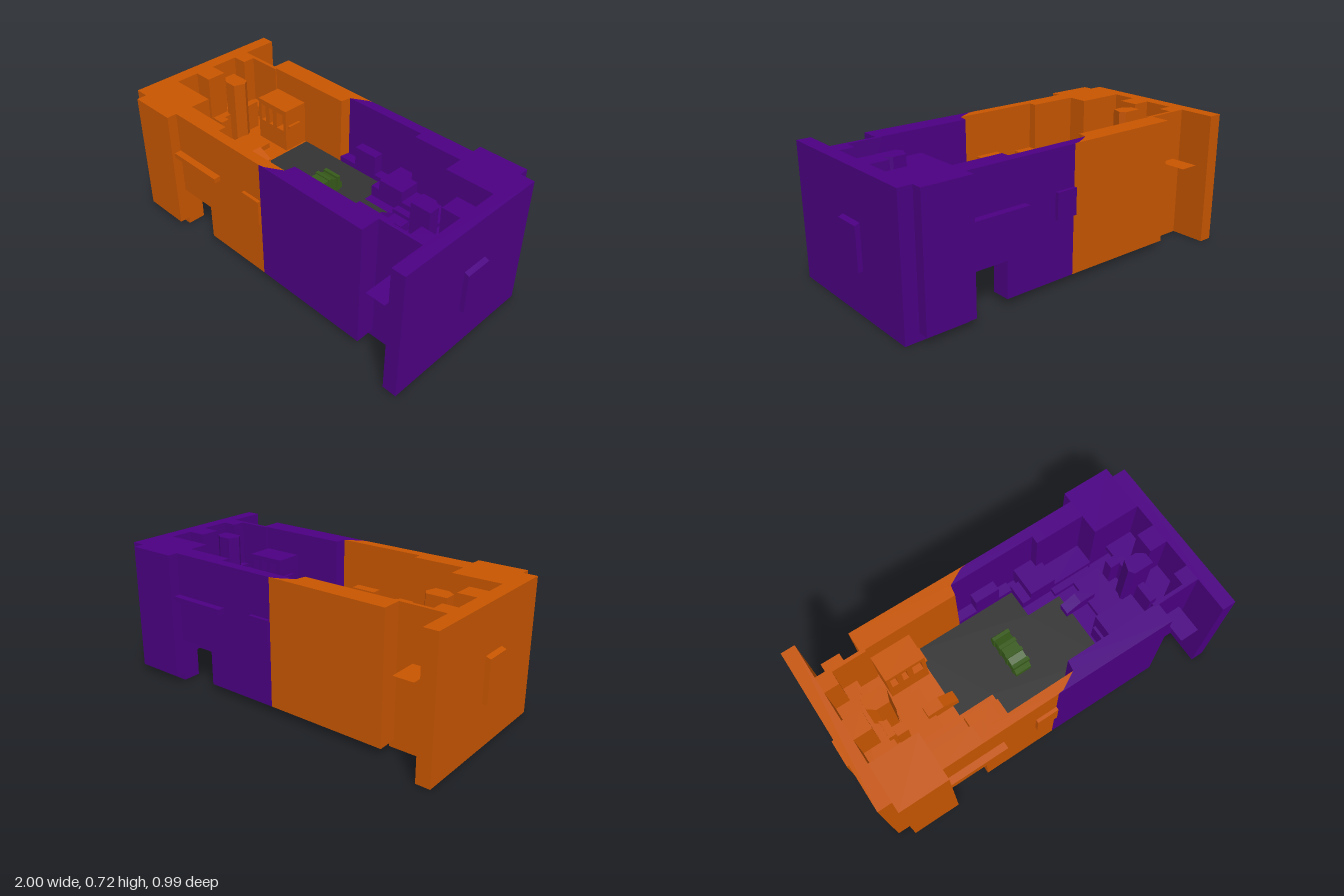
import * as THREE from 'three';

const mat = (name, color) => {
  const m = new THREE.MeshStandardMaterial({ color });
  m.name = name;
  return m;
};

// Box given by its limits on each axis
function block(group, name, m, [x0, x1], [y0, y1], [z0, z1]) {
  const mesh = new THREE.Mesh(new THREE.BoxGeometry(x1 - x0, y1 - y0, z1 - z0), m);
  mesh.position.set((x0 + x1) / 2, (y0 + y1) / 2, (z0 + z1) / 2);
  mesh.name = name;
  group.add(mesh);
}

// Upright prism from a plan outline of [x, z] points
function prism(group, name, m, plan, y0, y1) {
  const shape = new THREE.Shape(plan.map(([x, z]) => new THREE.Vector2(x, -z)));
  const geo = new THREE.ExtrudeGeometry(shape, { depth: y1 - y0, bevelEnabled: false });
  geo.rotateX(-Math.PI / 2).translate(0, y0, 0);
  const mesh = new THREE.Mesh(geo, m);
  mesh.name = name;
  group.add(mesh);
}

// Prism from an x/y profile, running along z
function profileZ(group, name, m, pts, z0, z1) {
  const shape = new THREE.Shape(pts.map(([x, y]) => new THREE.Vector2(x, y)));
  const geo = new THREE.ExtrudeGeometry(shape, { depth: z1 - z0, bevelEnabled: false });
  geo.translate(0, 0, z0);
  const mesh = new THREE.Mesh(geo, m);
  mesh.name = name;
  group.add(mesh);
}

// One half of the arena, occupying -x
function makeBase(name, m) {
  const g = new THREE.Group();
  g.name = name;
  const T = 0.716;
  const F0 = 0.31, F1 = 0.34;
  const add = (n, x, y, z) => block(g, n, m, x, y, z);

  // End wall with its bevelled outer panel
  add('endWall', [-0.975, -0.9], [0, T], [-0.495, 0.4]);
  profileZ(g, 'endPanel', m,
    [[-0.97, 0.235], [-0.97, 0.47], [-1, 0.458], [-1, 0.235]], -0.075, 0.075);

  // Corner tower and recessed rear wall
  add('cornerTower', [-0.9, -0.635], [F0, T], [0.19, 0.455]);
  add('towerLower', [-0.9, -0.635], [0.04, F0], [0.3, 0.455]);
  add('towerFoot', [-0.9, -0.635], [0, 0.04], [0.3, 0.4]);
  add('recessWall', [-0.9, -0.635], [0, T], [-0.3, -0.28]);
  add('recessShelf', [-0.85, -0.742], [0.4455, 0.446], [-0.458, -0.3]);

  // Front wall over the doorway, then the full-height part with a wedge end
  add('doorLintel', [-0.635, -0.415], [0.235, T], [0.3, 0.4]);
  prism(g, 'frontWall', m, [[-0.415, 0.4], [0, 0.4], [0.03, 0.395], [0.12, 0.345],
    [-0.36, 0.345], [-0.36, 0.3], [-0.415, 0.3]], 0.04, T);
  add('wallLedge', [-0.635, -0.308], [0.465, 0.492], [0.4, 0.438]);
  add('wallPanel', [-0.12, 0], [0.362, 0.502], [0.4, 0.418]);
  add('innerLedge', [-0.2, 0.13], [F0, 0.37], [0.29, 0.345]);
  add('ledgeBlock', [-0.12, 0.02], [0.37, 0.48], [0.29, 0.345]);

  // Rear wall, cut to meet the other half's wedge, with a sloped foot
  prism(g, 'rearWall', m, [[-0.66, -0.405], [-0.66, -0.29], [-0.13, -0.29],
    [-0.12, -0.345], [-0.03, -0.395], [0, -0.4]], 0.04, T);
  profileZ(g, 'rearWallFoot', m, [[-0.13, 0.04], [0, 0.04], [-0.13, F0]], -0.345, -0.29);

  // Raised floors, with low slabs inside the doorway
  add('baseFloor', [-0.9, -0.4], [F0, F1], [-0.29, 0.32]);
  add('sideFloor', [-0.4, -0.2], [F0, F1], [0.13, 0.345]);
  add('doorCeiling', [-0.635, -0.415], [0.205, 0.235], [0.14, 0.3]);
  add('doorSlab', [-0.635, -0.54], [0.15, 0.205], [0.14, 0.28]);

  // Platform and steps along the front wall
  add('sidePlatform', [-0.4, -0.25], [F1, 0.46], [0.18, 0.345]);
  add('sideStep', [-0.25, -0.2], [F1, 0.4], [0.18, 0.3]);
  add('rearStep', [-0.635, -0.4], [F1, 0.4], [0.18, 0.3]);
  add('stepCurb', [-0.62, -0.38], [F1, 0.37], [0.14, 0.18]);

  // Slit-windowed booth against the rear wall
  add('boothBase', [-0.63, -0.41], [F1, 0.46], [-0.29, -0.145]);
  add('boothCore', [-0.61, -0.43], [0.46, 0.56], [-0.29, -0.19]);
  add('boothRoof', [-0.63, -0.41], [0.56, 0.59], [-0.29, -0.145]);
  for (const x of [-0.63, -0.43]) {
    add('boothSide', [x, x + 0.02], [0.46, 0.56], [-0.29, -0.145]);
  }
  for (const x of [-0.575, -0.515]) {
    add('boothPost', [x, x + 0.03], [0.46, 0.56], [-0.19, -0.145]);
  }
  add('boothSill', [-0.41, -0.395], [0.48, 0.495], [-0.24, -0.16]);

  // Upper gallery, with arms reaching from the end wall
  add('galleryFloor', [-0.9, -0.74], [0.42, 0.45], [-0.28, 0.19]);
  add('galleryArm', [-0.9, -0.8], [0.45, T], [-0.05, 0.06]);
  add('galleryRearArm', [-0.9, -0.82], [0.45, T], [-0.28, -0.21]);
  add('galleryEdge', [-0.76, -0.72], [F1, 0.5], [-0.21, 0.08]);
  prism(g, 'galleryPillar', m, [[-0.78, -0.1], [-0.67, -0.1], [-0.65, -0.07],
    [-0.67, -0.01], [-0.74, -0.01], [-0.78, -0.04]], F1, 0.7);
  add('lowPillar', [-0.72, -0.66], [F1, 0.52], [0.05, 0.1]);
  add('entryStep', [-0.66, -0.5], [F1, 0.37], [-0.1, 0.14]);

  // Sloped console facing the middle
  profileZ(g, 'console', m,
    [[-0.54, F1], [-0.365, F1], [-0.365, 0.38], [-0.45, 0.42], [-0.54, 0.42]], 0.01, 0.07);
  return g;
}

export function createModel() {
  const root = new THREE.Group();
  root.name = 'arena';
  const orange = mat('orange', 0xc65500);
  const purple = mat('purple', 0x4b0082);
  const grey = mat('dark grey', 0x333333);
  const green = mat('green', 0x375a1a);

  // Two matching halves, turned half a circle from each other
  root.add(makeBase('orangeBase', orange));
  const other = makeBase('purpleBase', purple);
  other.rotation.y = Math.PI;
  root.add(other);

  // Shared floor between the halves
  prism(root, 'middleFloor', grey, [[-0.4, -0.29], [-0.4, 0.13], [-0.2, 0.13], [-0.2, 0.29],
    [0.4, 0.29], [0.4, -0.13], [0.2, -0.13], [0.2, -0.29]], 0.31, 0.34);

  // Faceted arch over the floor, with feet hanging below it and raised ribs
  const centre = new THREE.Group();
  centre.name = 'centrepiece';
  profileZ(centre, 'centreArch', green, [[-0.12, 0.34], [0.12, 0.34], [0.12, 0.37],
    [0.09, 0.41], [0.03, 0.43], [-0.03, 0.43], [-0.09, 0.41], [-0.12, 0.37]], -0.045, 0.045);
  for (const s of [-1, 1]) {
    const side = new THREE.Group();
    side.name = 'centreSide';
    block(side, 'centreRib', green, [0.08, 0.1], [0.34, 0.425], [-0.05, 0.05]);
    block(side, 'centreInnerRib', green, [0.02, 0.04], [0.34, 0.437], [-0.05, 0.05]);
    profileZ(side, 'centreFoot', green, [[0.05, 0.32], [0.05, 0.25], [0.085, 0.21],
      [0.12, 0.25], [0.12, 0.32]], -0.045, 0.045);
    side.rotation.y = s < 0 ? Math.PI : 0;
    centre.add(side);
  }
  centre.rotation.y = Math.PI / 2;
  root.add(centre);
  return root;
}
